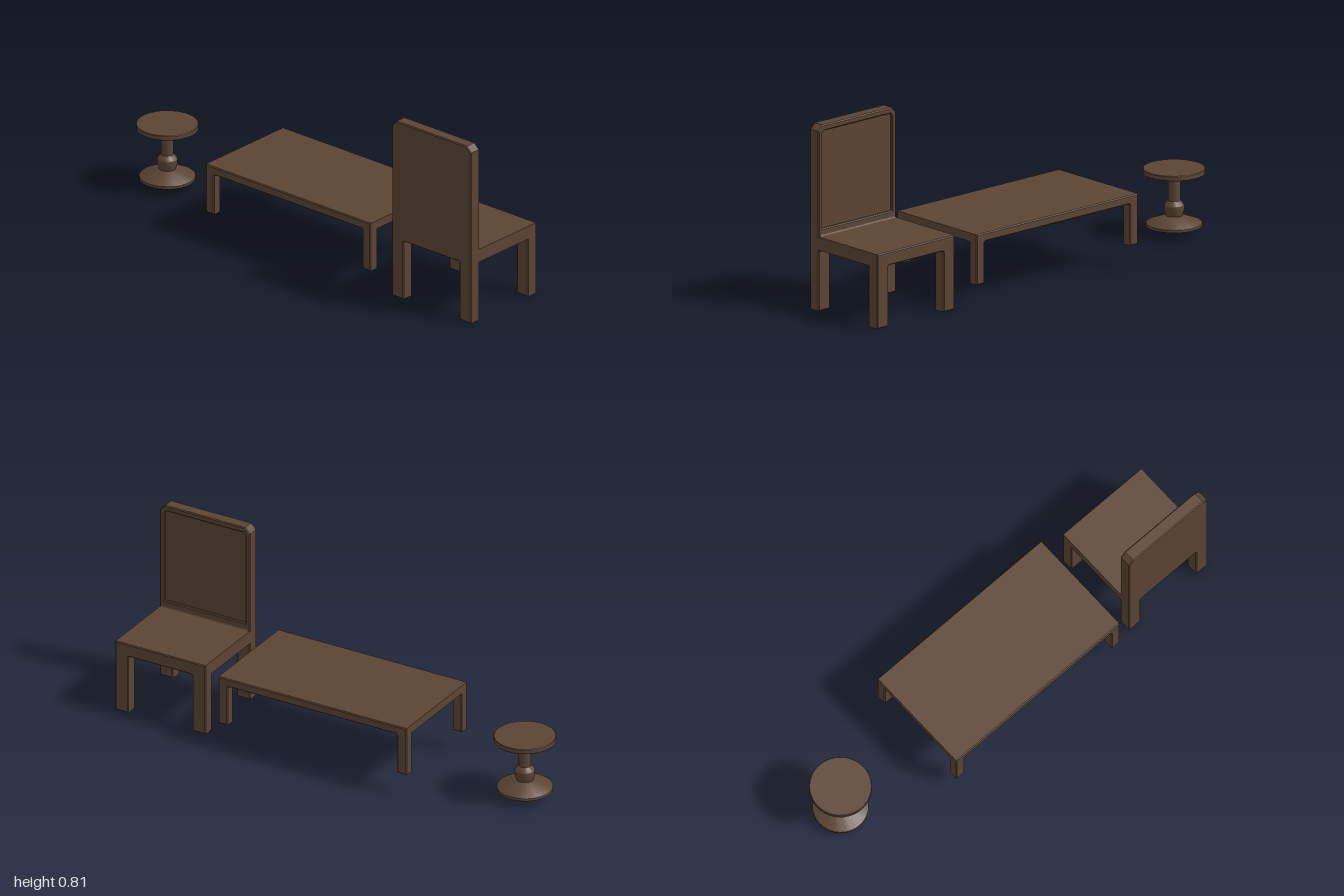
import * as THREE from 'three';
import { toCreasedNormals } from 'three/addons/utils/BufferGeometryUtils.js';

const wood = new THREE.MeshStandardMaterial({ color: 0x5b4433 });
const BEVEL = 0.004;

function add(parent, name, geometry) {
  const mesh = new THREE.Mesh(geometry, wood);
  mesh.name = name;
  parent.add(mesh);
  return mesh;
}

// Extrude a (z, y) outline along x between x0 and x1, with softened edges.
function panel(shape, x0, x1) {
  const g = new THREE.ExtrudeGeometry(shape, {
    depth: x1 - x0 - 2 * BEVEL, bevelEnabled: true, bevelSegments: 1,
    bevelSize: BEVEL, bevelThickness: BEVEL, bevelOffset: -BEVEL, curveSegments: 4,
  });
  return g.rotateY(Math.PI / 2).translate(x0 + BEVEL, 0, 0);
}

function rect(w, y0, y1) {
  const h = w / 2;
  return new THREE.Shape([[-h, y0], [h, y0], [h, y1], [-h, y1]].map(p => new THREE.Vector2(...p)));
}

// Two legs joined above yCut, with filleted inner corners and cut top corners.
function legFrame(w, leg, y0, yCut, y1, corner, r = 0.01) {
  const h = w / 2, i = h - leg;
  const s = new THREE.Shape();
  s.moveTo(-h, y0);
  s.lineTo(-i, y0);
  s.lineTo(-i, yCut - r);
  s.quadraticCurveTo(-i, yCut, -i + r, yCut);
  s.lineTo(i - r, yCut);
  s.quadraticCurveTo(i, yCut, i, yCut - r);
  s.lineTo(i, y0);
  s.lineTo(h, y0);
  s.lineTo(h, y1 - corner);
  if (corner) s.lineTo(h - corner, y1);
  else s.lineTo(h, y1);
  s.lineTo(-h + corner, y1);
  if (corner) s.lineTo(-h, y1 - corner);
  return s;
}

// Small corner fillet in the (x, y) plane, running along z.
function fillet(x, y, sx, sy, length, z) {
  const r = 0.01, s = new THREE.Shape();
  const e = 0.004;
  s.moveTo(x - sx * e, y - sy * e);
  s.lineTo(x + sx * r, y - sy * e);
  s.lineTo(x + sx * r, y);
  s.quadraticCurveTo(x, y, x, y + sy * r);
  s.lineTo(x - sx * e, y + sy * r);
  return new THREE.ExtrudeGeometry(s, { depth: length, bevelEnabled: false, curveSegments: 4 })
    .translate(0, 0, z - length / 2);
}

function makeChair() {
  const chair = new THREE.Group();
  chair.name = 'chair';
  const W = 0.438, LEG = 0.063;
  const backOutline = () => legFrame(W, LEG, 0, 0.265, 0.805, 0.024);

  // Backrest with its legs, and a raised rim round the recessed panel
  add(chair, 'backrest', panel(backOutline(), -0.21, -0.166));
  const rim = backOutline();
  const hole = new THREE.Path();
  const a = 0.198, lo = 0.355, hi = 0.78, c = 0.012;
  hole.moveTo(-a, lo);
  hole.lineTo(-a, hi - c);
  hole.lineTo(-a + c, hi);
  hole.lineTo(a - c, hi);
  hole.lineTo(a, hi - c);
  hole.lineTo(a, lo);
  hole.closePath();
  rim.holes.push(hole);
  add(chair, 'backrestRim', panel(rim, -0.19, -0.155));

  // Seat and front legs
  add(chair, 'seat', panel(rect(W, 0.265, 0.323), -0.19, 0.207));
  add(chair, 'frontLegs', panel(legFrame(W, LEG, 0, 0.265, 0.323, 0), 0.152, 0.207));

  add(chair, 'seatFillet', fillet(-0.155, 0.323, 1, 1, W - 0.01, 0));
  for (const s of [-1, 1]) {
    const z = s * (W - LEG) / 2;
    add(chair, 'backLegFillet', fillet(-0.155, 0.265, 1, -1, LEG - 0.01, z));
    add(chair, 'frontLegFillet', fillet(0.152, 0.265, -1, -1, LEG - 0.01, z));
  }
  chair.position.z = 0.781;
  return chair;
}

function makeTable() {
  const table = new THREE.Group();
  table.name = 'table';
  const L = 0.915, X = 0.247, LEG = 0.045;
  add(table, 'tableTop', panel(rect(L, 0.278, 0.315), -X, X));
  for (const s of [-1, 1]) {
    const edge = s * X, inner = s * (X - LEG);
    add(table, 'tableLegs',
      panel(legFrame(L, LEG, 0.096, 0.278, 0.315, 0), Math.min(edge, inner), Math.max(edge, inner)));
    for (const t of [-1, 1])
      add(table, 'tableLegFillet', fillet(inner, 0.278, -s, -1, LEG - 0.01, t * (L - LEG) / 2));
  }
  table.position.z = 0.0175;
  return table;
}

function makeStool() {
  const stool = new THREE.Group();
  stool.name = 'stool';
  const turned = pts =>
    toCreasedNormals(new THREE.LatheGeometry(pts.map(p => new THREE.Vector2(...p)), 40), 0.4);
  // Turned pedestal: flared foot, bulge and column
  add(stool, 'pedestal', turned([
    [0, 0.04], [0.118, 0.04], [0.118, 0.052], [0.113, 0.056], [0.036, 0.085],
    [0.043, 0.11], [0.043, 0.13], [0.038, 0.138], [0.026, 0.15], [0.026, 0.272],
  ]));
  add(stool, 'stoolTop', turned([
    [0, 0.268], [0.129, 0.268], [0.131, 0.27], [0.131, 0.288], [0.129, 0.29], [0, 0.29],
  ]));
  stool.position.z = -0.869;
  return stool;
}

export function createModel() {
  const model = new THREE.Group();
  model.name = 'furnitureSet';
  model.add(makeChair(), makeTable(), makeStool());
  return model;
}
